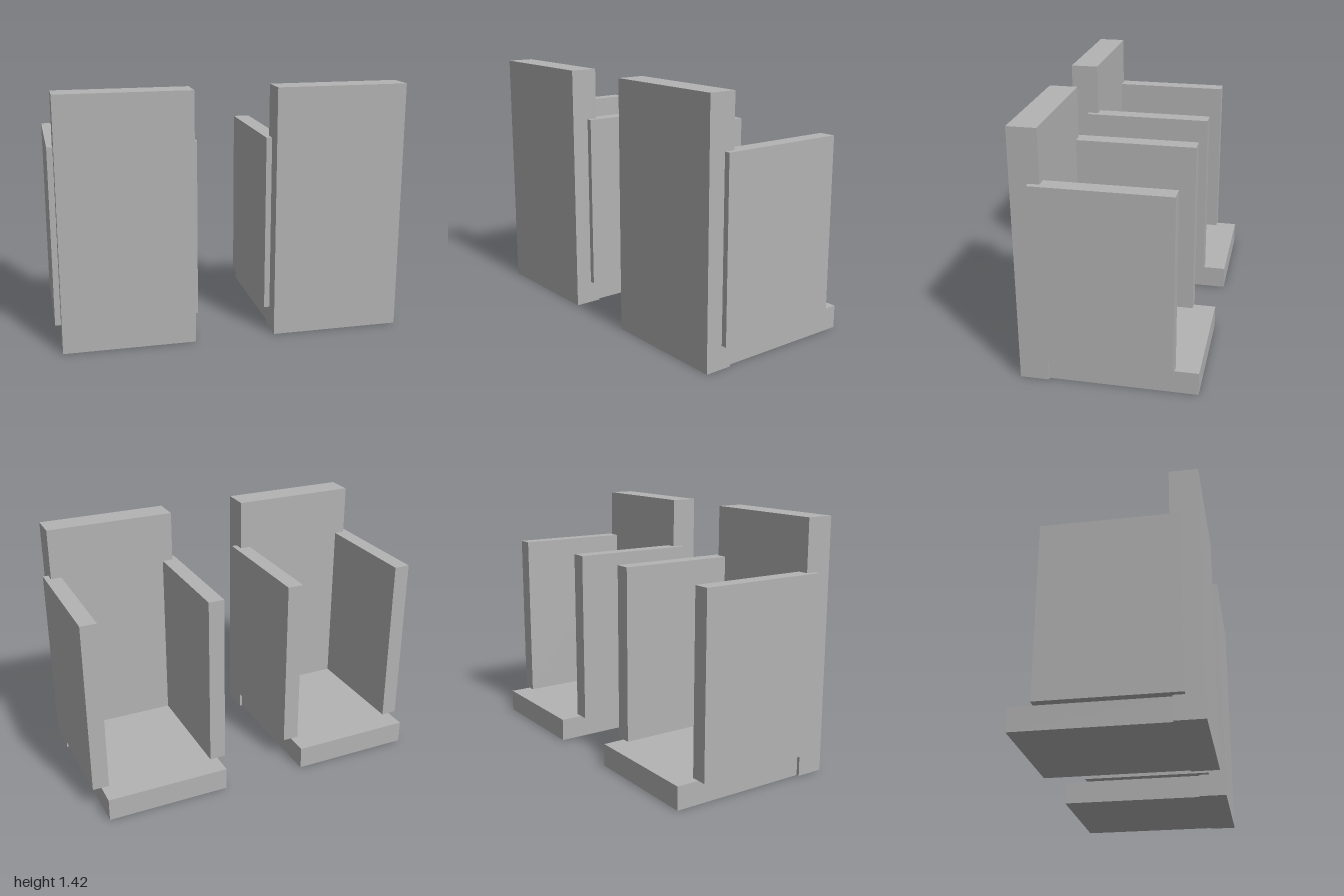
import * as THREE from 'three';

const grey = new THREE.MeshStandardMaterial({ color: 0xb3b3b3 });
grey.name = 'plain grey';

// Box given by its extents on each axis
function slab(name, [x0, x1], [y0, y1], [z0, z1]) {
  const mesh = new THREE.Mesh(new THREE.BoxGeometry(x1 - x0, y1 - y0, z1 - z0), grey);
  mesh.position.set((x0 + x1) / 2, (y0 + y1) / 2, (z0 + z1) / 2);
  mesh.name = name;
  return mesh;
}

function createUnit(name) {
  const unit = new THREE.Group();
  unit.name = name;
  // Tall panel at the front, base slab running back from it
  unit.add(slab('tallPanel', [-0.37, 0.37], [0, 1.42], [0.326, 0.483]));
  unit.add(slab('baseSlab', [-0.353, 0.353], [0, 0.13], [-0.483, 0.326]));
  // Side panels standing on the base and let into the tall panel
  unit.add(slab('leftSidePanel', [0.309, 0.402], [0.13, 1.13], [-0.354, 0.386]));
  unit.add(slab('rightSidePanel', [-0.402, -0.309], [0.13, 1.13], [-0.354, 0.386]));
  return unit;
}

export function createModel() {
  const model = new THREE.Group();
  model.name = 'pairOfSeats';
  for (const [name, side] of [['leftSeat', 1], ['rightSeat', -1]]) {
    const unit = createUnit(name);
    unit.position.x = side * 0.598;
    model.add(unit);
  }
  return model;
}
